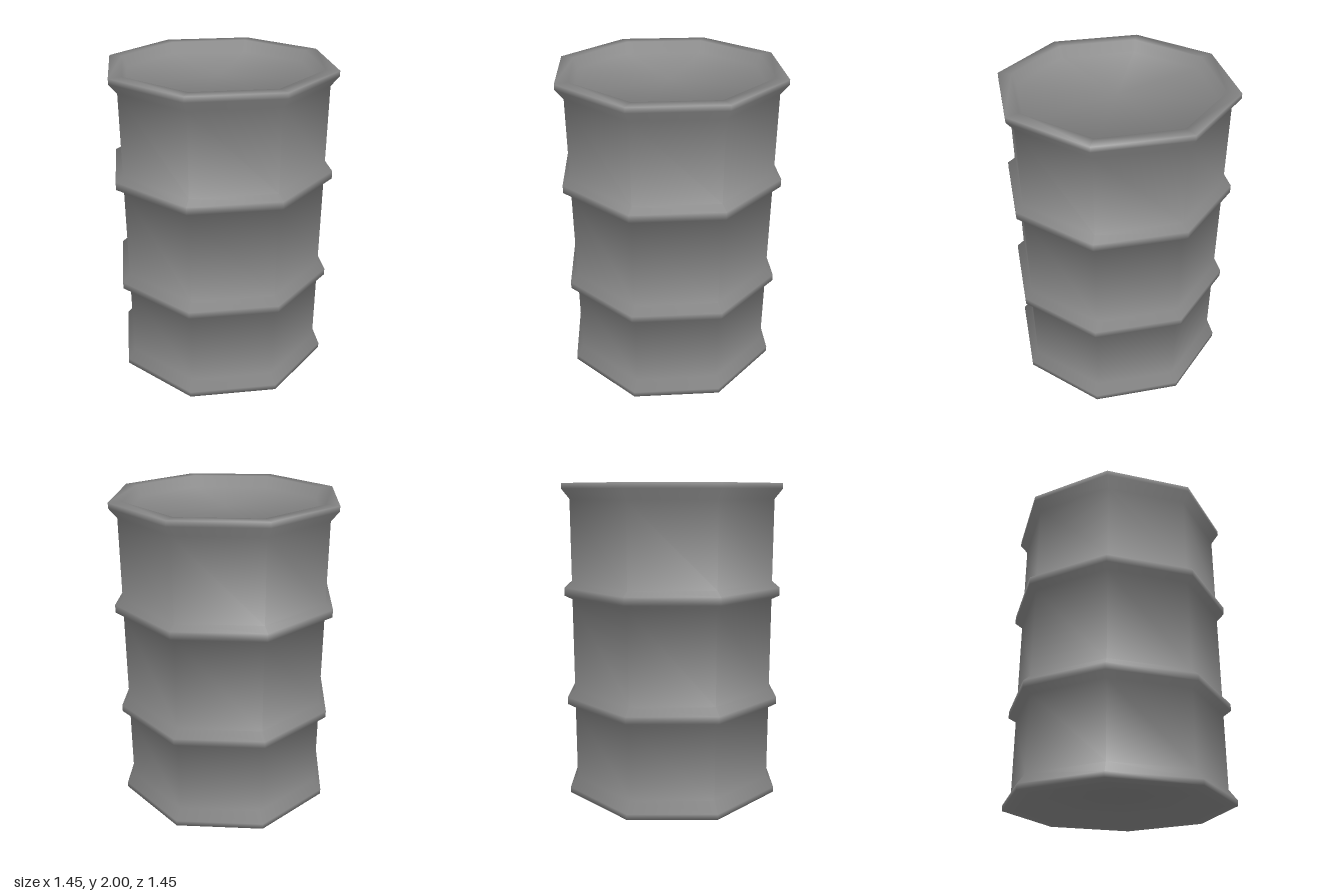
import * as THREE from 'three';

const BODY = 0.675;  // wall radius
const RIM = 0.725;   // radius of rims and hoops
const SIDES = 8;

// A bevelled hoop standing out from the wall: bottom, lower edge, upper edge, top
const hoop = (y0, y1, y2, y3) => [[BODY, y0], [RIM, y1], [RIM, y2], [BODY, y3]];

// Lathe whose normals weigh the two neighbouring bands equally, for soft shading across each band
function softLathe(points) {
  const geometry = new THREE.LatheGeometry(points, SIDES);
  const bands = points.slice(1).map((p, i) =>
    new THREE.Vector2(p.y - points[i].y, points[i].x - p.x).normalize());
  const normals = points.map((p, i) =>
    (bands[i - 1] ?? bands[i]).clone().add(bands[i] ?? bands[i - 1]).normalize());
  const attribute = geometry.attributes.normal;
  for (let i = 0; i < attribute.count; i++) {
    const n = normals[i % points.length];
    const angle = Math.floor(i / points.length) * 2 * Math.PI / SIDES;
    attribute.setXYZ(i, n.x * Math.sin(angle), n.y, n.x * Math.cos(angle));
  }
  return geometry;
}

export function createModel() {
  const group = new THREE.Group();
  group.name = 'barrel';

  // One smooth profile, from the centre of the base round to the centre of the lid
  const profile = [
    [0, 0.07], [0.615, 0.07], [0.64, 0],           // recessed base
    [RIM, 0], [RIM, 0.035], [BODY, 0.1],           // bottom rim
    ...hoop(0.58, 0.61, 0.655, 0.7),               // lower hoop
    ...hoop(1.29, 1.315, 1.365, 1.395),            // upper hoop
    [BODY, 1.905], [RIM, 1.967], [RIM, 2],         // top rim
    [0.64, 2], [0.615, 1.93], [0, 1.93],           // recessed lid
  ].map(([r, y]) => new THREE.Vector2(r, y));

  // Eight-sided shell with corners on the x and z axes
  const shell = new THREE.Mesh(
    softLathe(profile),
    new THREE.MeshStandardMaterial({ color: 0x888888 })
  );
  shell.name = 'barrelShell';
  group.add(shell);
  return group;
}
